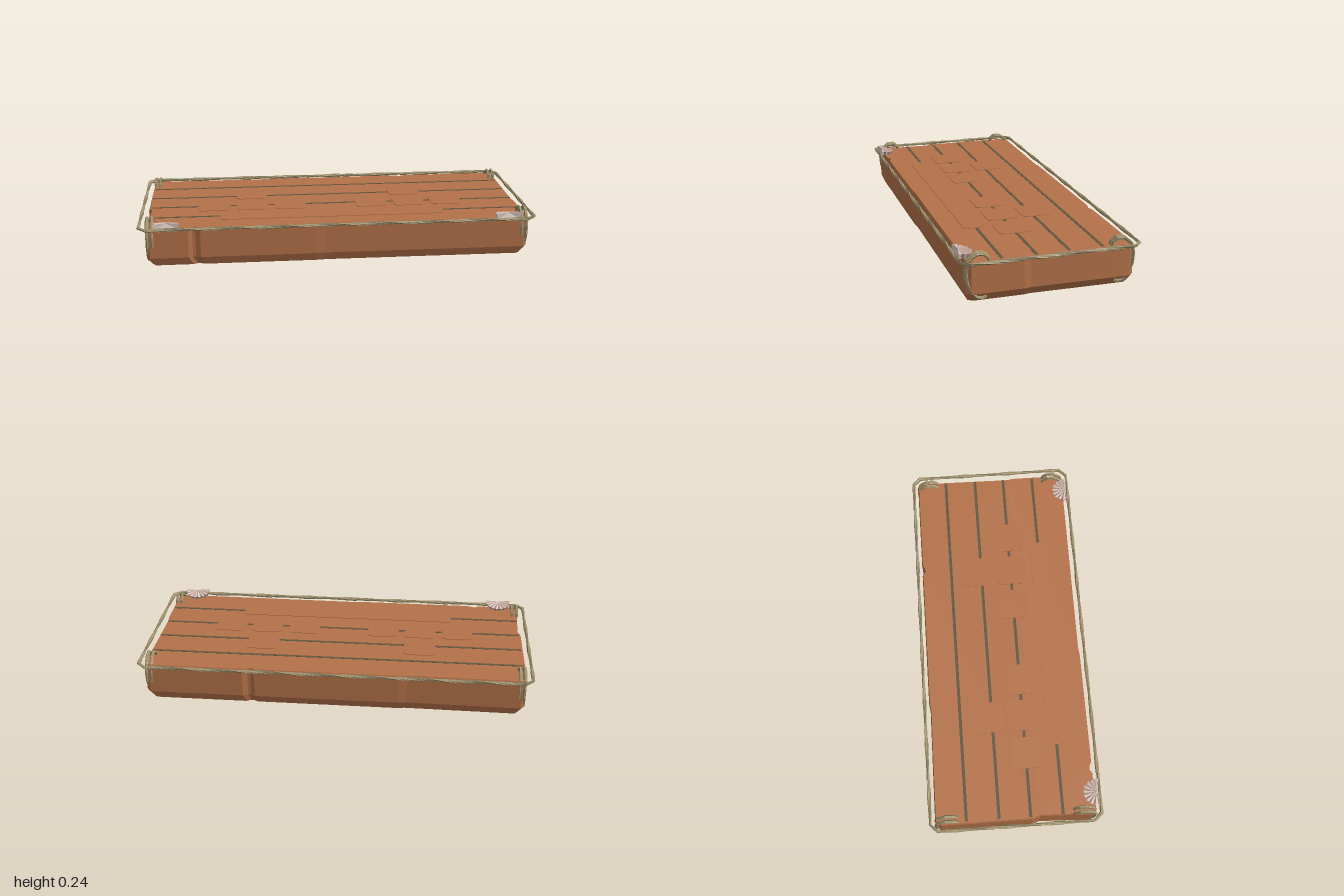
import * as THREE from 'three';

const V = (x, y, z) => new THREE.Vector3(x, y, z);
const mat = (name, color, extra = {}) =>
  Object.assign(new THREE.MeshStandardMaterial({ color, flatShading: true, ...extra }), { name });

// Flat-shaded geometry from a list of triangles per material index
function fromTriangles(lists) {
  const geo = new THREE.BufferGeometry();
  const all = lists.flat();
  geo.setAttribute('position', new THREE.Float32BufferAttribute(all.flatMap(p => [p.x, p.y, p.z]), 3));
  let start = 0;
  lists.forEach((l, i) => { geo.addGroup(start, l.length, i); start += l.length; });
  geo.computeVertexNormals();
  return geo;
}
const quad = (list, a, b, c, d) => list.push(a, b, c, a, c, d);

// Slab outline (x, z), anticlockwise from above, with chipped edges
const OUTLINE = [
  [-0.94, 0.402], [-0.75, 0.402], [-0.73, 0.39], [-0.715, 0.39], [-0.69, 0.402], [-0.12, 0.402], [-0.07, 0.397],
  [0.94, 0.402], [0.958, 0.378], [0.96, 0.13], [0.954, 0.1], [0.961, -0.3], [0.961, -0.378], [0.94, -0.404],
  [0.46, -0.404], [0.435, -0.392], [0.42, -0.392], [0.4, -0.404], [-0.33, -0.404], [-0.37, -0.398],
  [-0.94, -0.404], [-0.961, -0.378], [-0.961, 0.08], [-0.947, 0.12], [-0.958, 0.378],
];

function slabGeometry() {
  // [height, inset x, inset z]
  const levels = [[0, 0.028, 0.016], [0.042, 0, 0], [0.185, 0, 0], [0.197, 0.005, 0.005]];
  const rings = levels.map(([y, ix, iz]) => OUTLINE.map(([x, z]) => V(x * (1 - ix / 0.96), y, z * (1 - iz / 0.4))));
  const tris = [], n = OUTLINE.length;
  for (let k = 0; k < levels.length - 1; k++)
    for (let i = 0; i < n; i++) {
      const j = (i + 1) % n;
      quad(tris, rings[k][i], rings[k][j], rings[k + 1][j], rings[k + 1][i]);
    }
  const caps = THREE.ShapeUtils.triangulateShape(OUTLINE.map(([x, z]) => new THREE.Vector2(x, -z)), []);
  const top = rings[levels.length - 1], bottom = rings[0];
  for (const [a, b, c] of caps) tris.push(top[a], top[b], top[c], bottom[a], bottom[c], bottom[b]);
  return fromTriangles([tris]);
}

// Twisted rope along a planar polyline; up is the normal of the path's plane
function ropeGeometry(points, up, closed, { step, turn, a, b }) {
  const path = new THREE.CurvePath();
  const count = closed ? points.length : points.length - 1;
  for (let i = 0; i < count; i++) path.add(new THREE.LineCurve3(points[i], points[(i + 1) % points.length]));
  const samples = [];
  path.curves.forEach(c => {
    const m = Math.max(1, Math.round(c.getLength() / step));
    for (let i = 0; i < m; i++) samples.push(c.getPoint(i / m));
  });
  if (!closed) samples.push(points[points.length - 1].clone());
  const n = samples.length, sides = 6;
  // A closed rope makes a whole number of turns
  const twist = closed ? 2 * Math.PI * Math.round(n * turn / (2 * Math.PI)) / n : turn;
  const rings = samples.map((p, i) => {
    const prev = samples[closed ? (i + n - 1) % n : Math.max(0, i - 1)];
    const next = samples[closed ? (i + 1) % n : Math.min(n - 1, i + 1)];
    const side = up.clone().cross(next.clone().sub(prev).normalize());
    const c = Math.cos(i * twist), s = Math.sin(i * twist);
    return Array.from({ length: sides }, (_, k) => {
      const t = k / sides * Math.PI * 2, u = a * Math.cos(t), v = b * Math.sin(t);
      return p.clone().addScaledVector(side, u * c - v * s).addScaledVector(up, u * s + v * c);
    });
  });
  const lists = [[], []];
  for (let i = 0; i < (closed ? n : n - 1); i++)
    for (let k = 0; k < sides; k++) {
      const l = (k + 1) % sides, r = rings[i], q = rings[(i + 1) % n];
      quad(lists[k % 3 === 0 ? 1 : 0], r[k], r[l], q[l], q[k]);
    }
  return fromTriangles(lists);
}

// Raised plate with rounded corners
function padGeometry(w, d, r, h) {
  const s = new THREE.Shape(), x = w / 2, y = d / 2;
  s.moveTo(-x + r, -y).lineTo(x - r, -y).quadraticCurveTo(x, -y, x, -y + r)
    .lineTo(x, y - r).quadraticCurveTo(x, y, x - r, y)
    .lineTo(-x + r, y).quadraticCurveTo(-x, y, -x, y - r)
    .lineTo(-x, -y + r).quadraticCurveTo(-x, -y, -x + r, -y);
  return new THREE.ExtrudeGeometry(s, { depth: h, bevelEnabled: false, curveSegments: 4 }).rotateX(-Math.PI / 2);
}

// Ribbed fan shell, hinge at the origin, sloping down towards -z
function shellGeometry() {
  const ribs = 18, from = -0.2, to = Math.PI + 0.2;
  const radii = [0.008, 0.035, 0.067];
  const lists = [[], []];
  const rimPoint = (i, r, onFloor) => {
    const t = from + (to - from) * i / ribs, valley = i % 2;
    const rad = r * (valley ? 0.93 : 1);
    const y = 0.028 - 0.2 * rad * Math.max(0, Math.sin(t)) - (valley ? 0.05 * rad : 0);
    return V(rad * Math.cos(t), onFloor ? 0 : y, -rad * Math.sin(t));
  };
  for (let i = 0; i < ribs; i++) {
    const list = lists[i % 2];
    for (let k = 0; k < radii.length - 1; k++)
      quad(list, rimPoint(i, radii[k]), rimPoint(i, radii[k + 1]),
        rimPoint(i + 1, radii[k + 1]), rimPoint(i + 1, radii[k]));
    list.push(V(0, 0.028, 0), rimPoint(i, radii[0]), rimPoint(i + 1, radii[0]));
    // Outer skirt
    quad(list, rimPoint(i, 0.067), rimPoint(i, 0.058, true), rimPoint(i + 1, 0.058, true), rimPoint(i + 1, 0.067));
  }
  // Front closing face
  lists[0].push(V(0, 0.028, 0), rimPoint(ribs, 0.067), rimPoint(ribs, 0.058, true),
    V(0, 0.028, 0), rimPoint(ribs, 0.058, true), rimPoint(0, 0.058, true),
    V(0, 0.028, 0), rimPoint(0, 0.058, true), rimPoint(0, 0.067));
  return fromTriangles(lists);
}

export function createModel() {
  const model = new THREE.Group();
  model.name = 'plankBoard';
  const wood = mat('wood', 0xb47249);
  const seamDark = mat('seam', 0x635640);
  const ropeMats = [mat('rope', 0xa3946f), mat('ropeShade', 0x857a5a)];
  const shellMats = [
    mat('shellPale', 0xdac8c2, { side: THREE.DoubleSide }),
    mat('shellStripe', 0xb39489, { side: THREE.DoubleSide }),
  ];
  const add = (name, geo, material, x = 0, y = 0, z = 0) => {
    const m = new THREE.Mesh(geo, material);
    m.name = name;
    m.position.set(x, y, z);
    model.add(m);
    return m;
  };

  add('slab', slabGeometry(), wood);

  // Seams between the planks
  for (const z of [-0.248, -0.085, 0.073, 0.235])
    add('plankSeam', new THREE.BoxGeometry(1.9, 0.003, 0.015), seamDark, 0, 0.1965, z);

  // Raised square pads in two clusters, and one long bar
  const pad = padGeometry(0.162, 0.155, 0.025, 0.005);
  for (const cx of [-0.425, 0.395]) {
    add('squarePad', pad, wood, cx, 0.195, -0.108);
    for (const dx of [-0.198, 0, 0.196]) add('squarePad', pad, wood, cx + dx, 0.195, 0.075);
  }
  add('longPad', padGeometry(1.14, 0.108, 0.02, 0.005), wood, -0.02, 0.195, 0.242);

  // Rope around the rim, with cut corners
  const X = 0.99, Z = 0.427, c = 0.036, y = 0.198;
  const rim = [[-X + c, Z], [X - c, Z], [X, Z - c], [X, -Z + c], [X - c, -Z], [-X + c, -Z], [-X, -Z + c], [-X, Z - c]];
  add('rimRope', ropeGeometry(rim.map(([x, z]) => V(x, y, z)), V(0, 1, 0), true,
    { step: 0.04, turn: 0.5, a: 0.01, b: 0.007 }), ropeMats);

  // Pairs of rope hooks wrapping each corner (z, y)
  const hook = [[0.305, 0.026], [0.325, 0.018], [0.35, 0.022], [0.378, 0.052], [0.398, 0.1], [0.402, 0.15],
    [0.392, 0.195], [0.368, 0.217], [0.352, 0.228], [0.32, 0.228], [0.298, 0.21], [0.292, 0.19]];
  for (const sx of [-1, 1])
    for (const sz of [-1, 1])
      for (const x of [0.926, 0.95])
        add('cornerRope', ropeGeometry(hook.map(([z, h]) => V(sx * x, h, sz * z)), V(1, 0, 0), false,
          { step: 0.05, turn: 0.2, a: 0.009, b: 0.008 }), ropeMats);

  // Shells on the two front corners
  const shell = shellGeometry();
  for (const sx of [-1, 1]) add('shell', shell, shellMats, sx * 0.853, 0.198, 0.41);

  return model;
}
